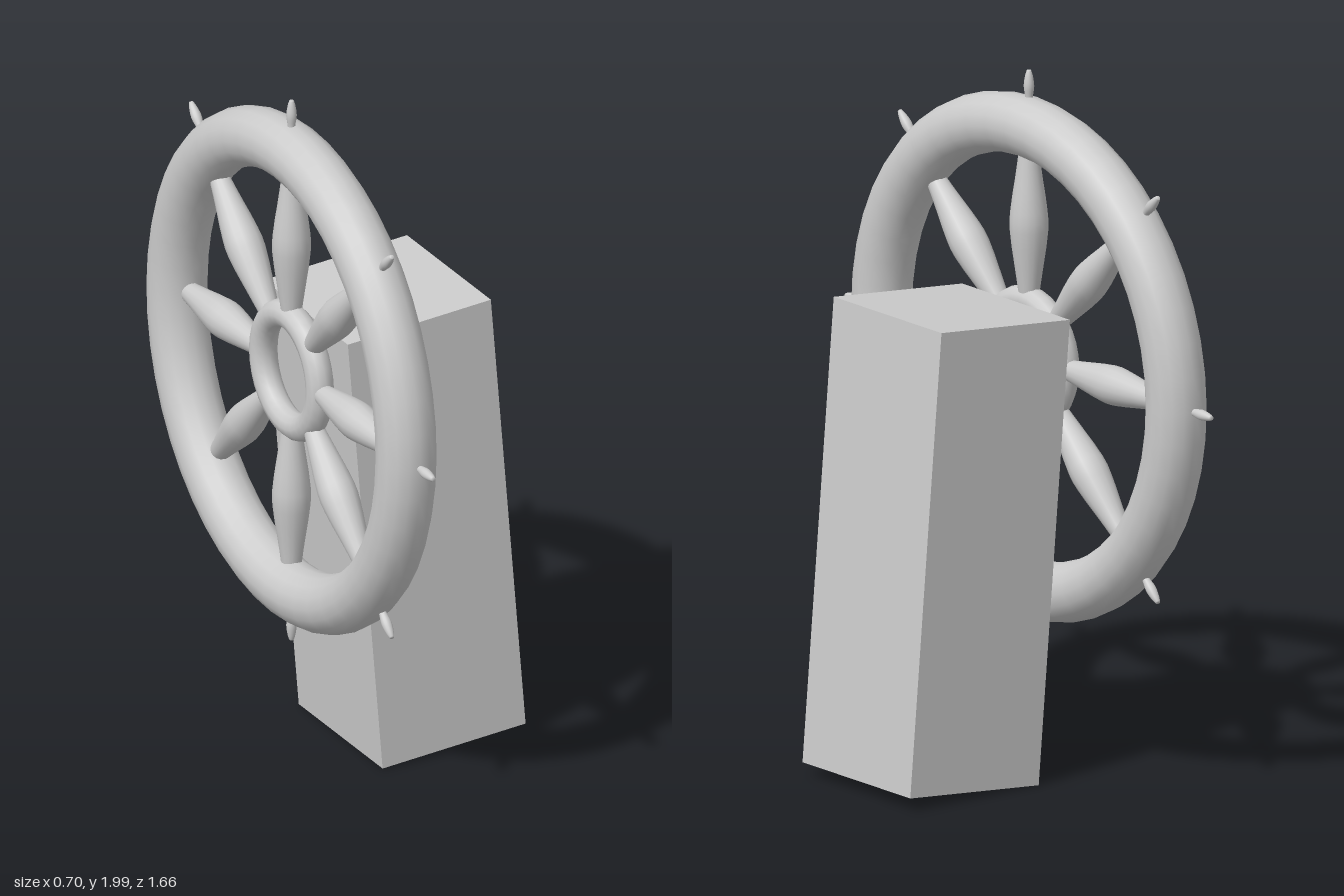
import * as THREE from 'three';

const material = new THREE.MeshStandardMaterial({ color: 0xcccccc });

function part(name, geometry, parent) {
  const mesh = new THREE.Mesh(geometry, material);
  mesh.name = name;
  parent.add(mesh);
  return mesh;
}

// Turned wood: [radius, distance from wheel centre] points, smoothed and capped
function turned(points) {
  const curve = new THREE.SplineCurve(points.map(([r, d]) => new THREE.Vector2(r, d)));
  const profile = curve.getPoints(12);
  profile.unshift(new THREE.Vector2(0, points[0][1]));
  profile.push(new THREE.Vector2(0, points[points.length - 1][1]));
  return new THREE.LatheGeometry(profile, 16);
}

export function createModel() {
  const model = new THREE.Group();
  model.name = 'steeringWheelOnPedestal';

  // Leaning block that carries the wheel
  const pedestal = part('pedestal', new THREE.BoxGeometry(0.457, 1.335, 0.49), model);
  pedestal.position.set(0.067, 0.69, 0);
  pedestal.rotation.z = 0.083;

  // Wheel lies in the YZ plane, facing -x
  const wheel = new THREE.Group();
  wheel.name = 'wheel';
  wheel.position.set(-0.262, 1.169, 0);
  model.add(wheel);

  const rim = part('rim', new THREE.TorusGeometry(0.669, 0.086, 16, 48), wheel);
  rim.rotation.set(0, Math.PI / 2, -0.007, 'ZYX');

  const hub = part('hubRing', new THREE.TorusGeometry(0.165, 0.04, 12, 32), wheel);
  hub.rotation.y = Math.PI / 2;

  // Eight spokes, each with a handle beyond the rim
  const spokeGeometry = turned([[0.026, 0.16], [0.036, 0.23], [0.054, 0.36], [0.052, 0.43], [0.036, 0.54], [0.026, 0.62]]);
  const handleGeometry = turned([[0.01, 0.73], [0.011, 0.755], [0.015, 0.785], [0.011, 0.815], [0.006, 0.831]]);
  for (let i = 0; i < 8; i++) {
    const arm = new THREE.Group();
    arm.name = 'arm' + (i + 1);
    arm.rotation.x = (i * Math.PI) / 4;
    part('spoke', spokeGeometry, arm);
    part('handle', handleGeometry, arm);
    wheel.add(arm);
  }

  return model;
}
